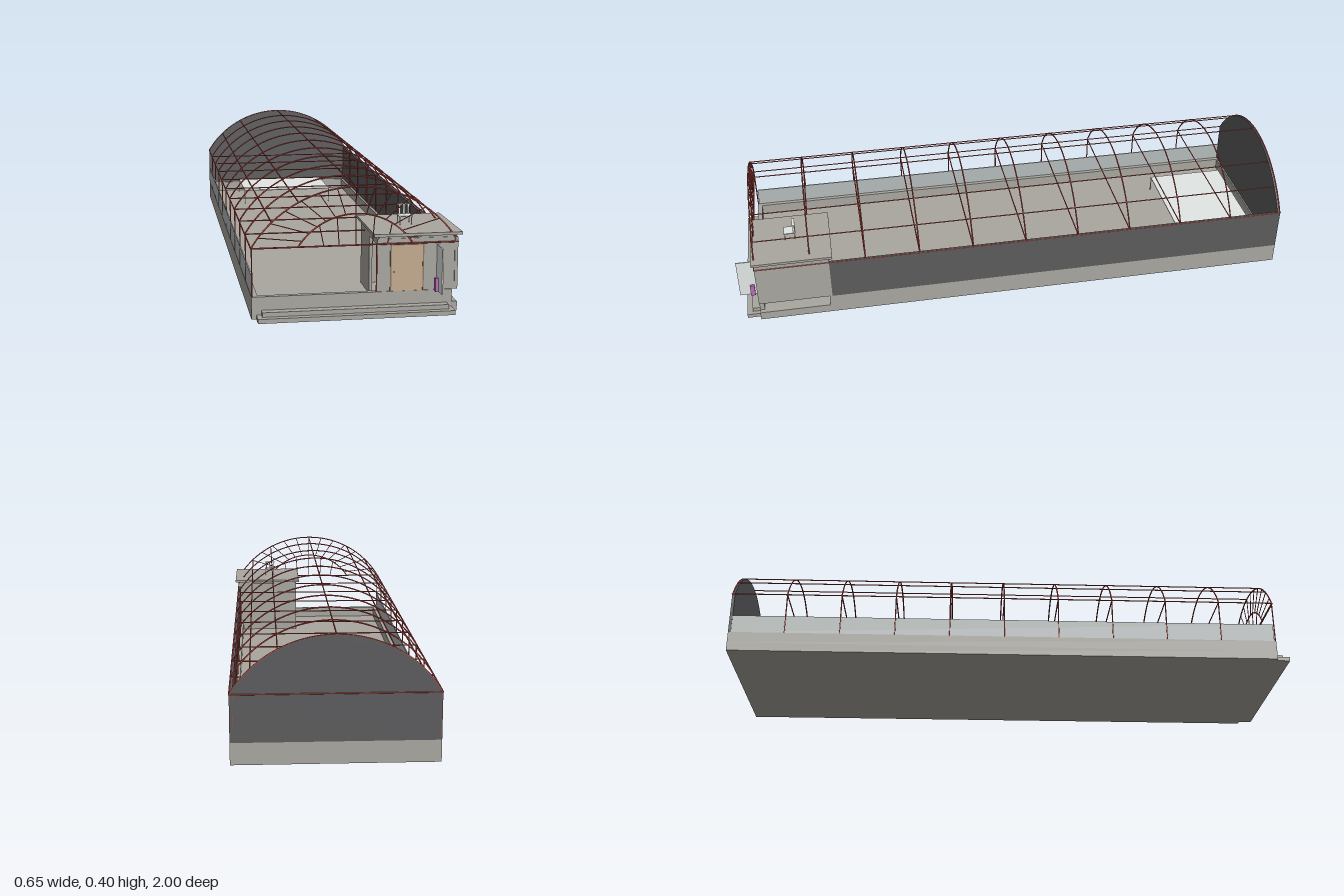
import * as THREE from 'three';

const mat = (name, color) => {
  const m = new THREE.MeshStandardMaterial({ color });
  m.name = name;
  return m;
};

export function createModel() {
  const concrete = mat('concrete', 0xa8a69f);
  const dark = mat('dark cladding', 0x5b5b5d);
  const steel = mat('red steel', 0xb84a42);
  const pale = mat('pale panel', 0xe2e6e4);
  const parapet = mat('grey parapet', 0xb4bbba);
  const wood = mat('door wood', 0xc2aa8f);
  const frameMat = mat('door frame', 0x8a7763);
  const purple = mat('purple', 0xb96cb9);

  const root = new THREE.Group();
  root.name = 'archedHall';
  const add = (name, geo, m, parent = root) => {
    const mesh = new THREE.Mesh(geo, m);
    mesh.name = name;
    parent.add(mesh);
    return mesh;
  };
  // Box given by its limits on each axis
  const box = (name, m, x0, x1, y0, y1, z0, z1, parent) => {
    const b = add(name, new THREE.BoxGeometry(x1 - x0, y1 - y0, z1 - z0), m, parent);
    b.position.set((x0 + x1) / 2, (y0 + y1) / 2, (z0 + z1) / 2);
    return b;
  };
  const group = (name) => {
    const g = new THREE.Group();
    g.name = name;
    root.add(g);
    return g;
  };

  const L = -0.325, R = 0.315, CX = -0.005, BACK = -1, FRONT = 0.935;
  const FLOOR = 0.03, BASE = 0.07, EAVE = 0.22;

  // Plinth: sunken floor inside a raised curb, open beneath the room's right wall
  const plinth = group('plinth');
  box('floorSlab', concrete, L, R, 0, FLOOR, BACK, FRONT, plinth);
  box('curbLeft', concrete, L, -0.305, FLOOR, BASE, BACK, FRONT, plinth);
  box('curbRight', concrete, 0.295, R, FLOOR, BASE, BACK, 0.675, plinth);
  box('curbFront', concrete, -0.305, 0.298, FLOOR, BASE, 0.918, FRONT, plinth);
  box('curbBack', concrete, -0.305, 0.295, FLOOR, BASE, BACK, -0.985, plinth);
  box('lowerStep', concrete, -0.31, 0.298, 0, 0.014, FRONT, 0.982, plinth);
  box('upperStep', concrete, -0.295, 0.282, 0.014, 0.028, FRONT, 0.962, plinth);

  // Arc through two springing points at eave height
  const arc = (half, rise) => {
    const r = (half * half + rise * rise) / (2 * rise);
    const a = Math.asin(half / r);
    return (t) => [CX + r * Math.sin(a * t), EAVE + rise - r + r * Math.cos(a * t)];
  };
  const outer = arc(0.32, 0.18);
  const inner = arc(0.177, 0.097);

  // Solid cladding: arched back wall and right side wall
  const s = new THREE.Shape();
  s.moveTo(L, BASE);
  s.lineTo(R, BASE);
  for (let i = 24; i >= -24; i--) s.lineTo(...outer(i / 24));
  s.closePath();
  add('backWall', new THREE.ExtrudeGeometry(s, { depth: 0.01, bevelEnabled: false }), dark).position.z = BACK;
  box('rightWall', dark, R - 0.01, R, BASE, EAVE, BACK + 0.01, 0.675);
  box('leftParapet', parapet, L + 0.001, L + 0.005, BASE, 0.135, BACK + 0.01, FRONT - 0.006);

  // Steel frame
  const frame = group('steelFrame');
  const rod = (name, a, b, r = 0.0022) => {
    const p = new THREE.Vector3(...a), q = new THREE.Vector3(...b);
    const d = q.clone().sub(p);
    const m = add(name, new THREE.CylinderGeometry(r, r, d.length(), 6), steel, frame);
    m.position.copy(p).add(q).multiplyScalar(0.5);
    m.quaternion.setFromUnitVectors(new THREE.Vector3(0, 1, 0), d.normalize());
  };
  const rib = (name, fn, z) => {
    const pts = [];
    for (let i = -12; i <= 12; i++) pts.push(new THREE.Vector3(...fn(i / 12), z));
    add(name, new THREE.TubeGeometry(new THREE.CatmullRomCurve3(pts), 48, 0.0025, 6), steel, frame);
  };
  // Ribs with a straight tie and posts
  for (let i = 0; i <= 10; i++) {
    const z = BACK + 0.002 + (i * (FRONT - BACK - 0.004)) / 10;
    rib('rib', outer, z);
    rod('tie', [L, EAVE, z], [R, EAVE, z]);
    rod('leftPost', [L + 0.002, BASE, z], [L + 0.002, EAVE, z]);
    if (i < 9) rod('rightPost', [R - 0.011, BASE, z], [R - 0.011, EAVE, z]);
  }
  // Purlins along the length
  const purlinY = { 0: 0.4, 0.175: 0.357, 0.257: 0.298, 0.32: EAVE };
  for (const [dx, y] of Object.entries(purlinY)) {
    for (const side of dx === '0' ? [1] : [-1, 1]) {
      const x = CX + side * Number(dx);
      rod('purlin', [x, y, BACK], [x, y, FRONT]);
    }
  }
  // Front gable fan
  const zf = FRONT - 0.002;
  rib('gableInnerArch', inner, zf);
  for (let k = -6; k <= 6; k++) rod('gableSpoke', [...inner(k * 0.15), zf], [...outer(k * 0.15), zf], 0.0016);
  for (const k of [-4, -2, 0, 2, 4]) {
    const [x, y] = inner(k * 0.14);
    rod('gableBar', [x, y, zf], [CX + (x - CX) * 0.88, EAVE, zf], 0.0016);
  }
  rod('frontTie', [L, EAVE, zf + 0.003], [R, EAVE, zf + 0.003]);
  rod('backTie', [L, EAVE, BACK], [R, EAVE, BACK]);
  rod('entrancePost', [0.06, BASE, zf], [0.06, EAVE, zf]);

  // Entrance room, open on its left side near the front
  const room = group('entranceRoom');
  const top = 0.235, rx = 0.062;
  box('roomBackWall', concrete, rx, R, FLOOR, top, 0.675, 0.685, room);
  box('roomRightWall', concrete, R - 0.01, R, BASE, top, 0.685, FRONT, room);
  box('roomLeftWall', concrete, rx, rx + 0.01, FLOOR, top, 0.685, 0.81, room);
  box('roomFrontLeft', concrete, rx, 0.102, BASE, top, 0.922, 0.932, room);
  box('roomFrontRight', concrete, 0.208, R - 0.01, BASE, top, 0.922, 0.932, room);
  box('roomLintel', concrete, 0.102, 0.208, 0.217, top, 0.922, 0.932, room);
  box('roomLeftLintel', concrete, rx, rx + 0.01, 0.217, top, 0.81, 0.922, room);
  box('roofNeck', concrete, rx + 0.005, R - 0.005, top - 0.008, 0.243, 0.68, 0.93, room);
  box('roofSlab', concrete, 0.05, 0.327, 0.243, 0.252, 0.662, 0.943, room);

  // Door
  box('door', wood, 0.106, 0.204, BASE, 0.214, 0.922, 0.934, room);
  box('doorFrameLeft', frameMat, 0.102, 0.106, BASE, 0.217, 0.922, 0.935, room);
  box('doorFrameRight', frameMat, 0.204, 0.208, BASE, 0.217, 0.922, 0.935, room);
  box('doorFrameTop', frameMat, 0.106, 0.204, 0.214, 0.217, 0.922, 0.935, room);
  box('doorHandle', frameMat, 0.113, 0.116, 0.13, 0.133, 0.934, 0.938, room);

  // Screen and bin beside the door
  box('screen', pale, 0.248, 0.252, BASE, 0.213, 0.935, 1);
  box('bin', purple, 0.238, 0.261, BASE, 0.112, 0.946, 0.962);

  // Vent stand on the room roof
  const vent = group('roofVent');
  for (const x of [0.158, 0.195])
    for (const z of [0.785, 0.82]) box('ventLeg', pale, x - 0.0015, x + 0.0015, 0.252, 0.278, z - 0.0015, z + 0.0015, vent);
  box('ventPlate', pale, 0.155, 0.198, 0.277, 0.28, 0.782, 0.823, vent);
  for (const x of [0.163, 0.177, 0.191]) box('ventPipe', pale, x - 0.003, x + 0.003, 0.28, 0.31, 0.784, 0.79, vent);
  box('ventCap', pale, 0.155, 0.198, 0.31, 0.313, 0.782, 0.792, vent);

  // Thin stage on legs at the far end
  const stage = group('stage');
  box('stageTop', pale, -0.193, 0.182, 0.087, 0.091, -0.95, -0.66, stage);
  for (const x of [-0.193, 0.179])
    for (const z of [-0.95, -0.663]) box('stageLeg', pale, x, x + 0.003, FLOOR, 0.087, z, z + 0.003, stage);

  return root;
}
